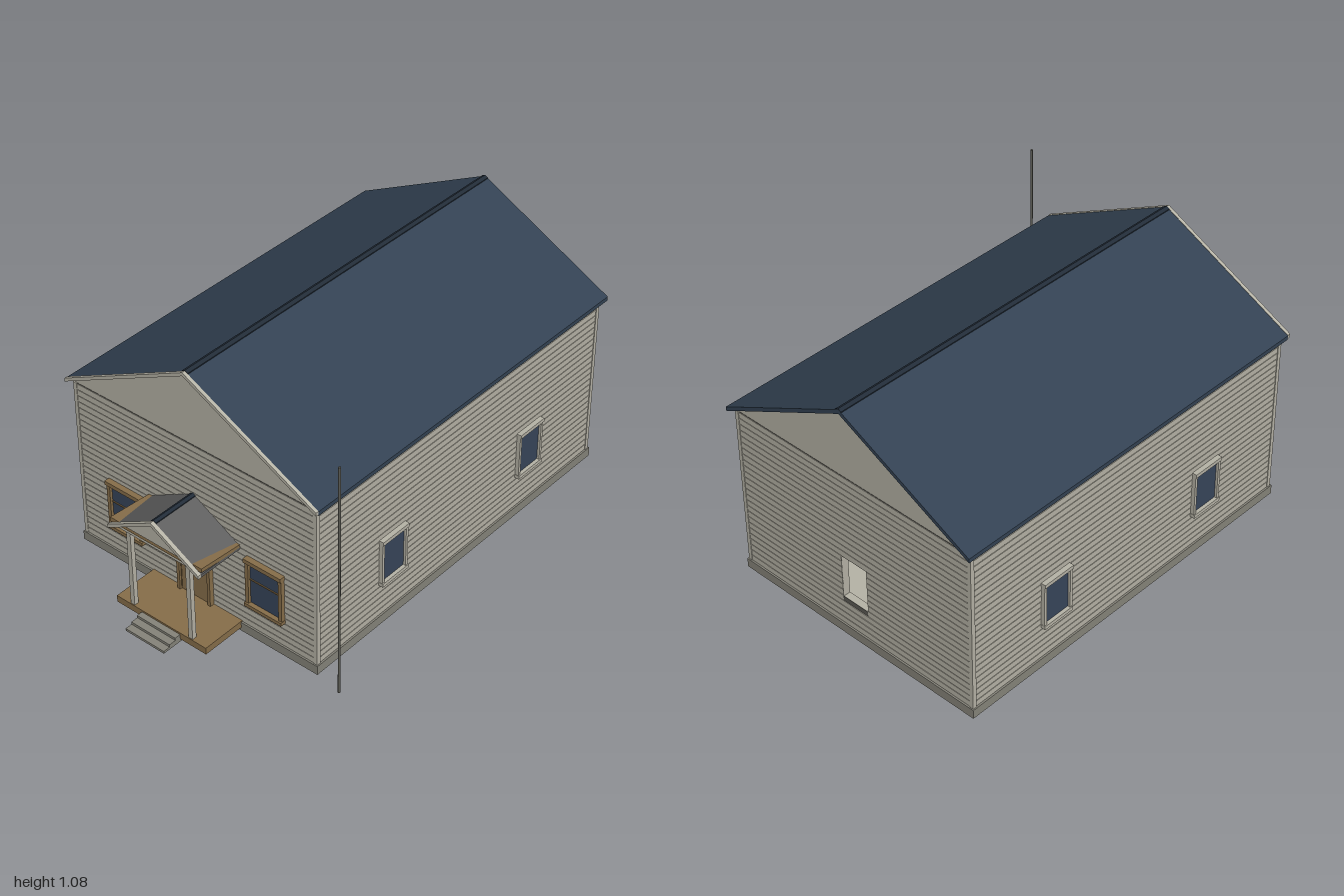
import * as THREE from 'three';

const mat = (name, color) => {
  const m = new THREE.MeshStandardMaterial({ color });
  m.name = name;
  return m;
};

export function createModel() {
  const siding = mat('siding', 0xb6b3a6);
  const gap = mat('shadowGap', 0x5c5b55);
  const stone = mat('foundationGrey', 0x86847a);
  const roofBlue = mat('roofBlue', 0x334253);
  const ridgeDark = mat('ridgeDark', 0x222c38);
  const wood = mat('wood', 0x876e4a);
  const woodDark = mat('woodDark', 0x6f5a3b);
  const glass = mat('glass', 0x37455a);
  const porchGrey = mat('porchRoofGrey', 0x5f5f5f);
  const poleGrey = mat('poleGrey', 0x5a5a53);

  const root = new THREE.Group();
  root.name = 'house';
  const house = new THREE.Group(); // symmetric about its own x = 0
  house.name = 'building';
  house.position.x = -0.057;
  root.add(house);

  const add = (name, geo, m, parent = house) => {
    const mesh = new THREE.Mesh(geo, m);
    mesh.name = name;
    parent.add(mesh);
    return mesh;
  };
  // box from its limits
  const box = (name, m, x0, x1, y0, y1, z0, z1, parent = house) => {
    const mesh = add(name, new THREE.BoxGeometry(x1 - x0, y1 - y0, z1 - z0), m, parent);
    mesh.position.set((x0 + x1) / 2, (y0 + y1) / 2, (z0 + z1) / 2);
    return mesh;
  };
  // outline extruded between two z values
  const prism = (name, m, pts, z0, z1, hole) => {
    const s = new THREE.Shape(pts.map(([x, y]) => new THREE.Vector2(x, y)));
    if (hole) s.holes.push(new THREE.Path(hole.map(([x, y]) => new THREE.Vector2(x, y))));
    const mesh = add(name, new THREE.ExtrudeGeometry(s, { depth: z1 - z0, bevelEnabled: false }), m);
    mesh.position.z = z0;
    return mesh;
  };
  // folded roof slab
  const chevron = (name, m, w, top, eave, t, z0, z1) => prism(name, m,
    [[0, top], [-w, eave], [-w, eave - t], [0, top - t], [w, eave - t], [w, eave]], z0, z1);

  // foundation and floor
  box('foundation', stone, -0.596, 0.596, 0, 0.04, -0.98, 0.72);
  box('floor', siding, -0.56, 0.56, 0.04, 0.045, -0.945, 0.685);

  // gable walls, the back one with an opening
  const hx = 0.064, hy0 = 0.17, hy1 = 0.365;
  const gable = [[-0.585, 0.04], [0.585, 0.04], [0.585, 0.758], [0, 1.062], [-0.585, 0.758]];
  const opening = [[-hx, hy0], [-hx, hy1], [hx, hy1], [hx, hy0]];
  prism('frontWall', siding, gable, 0.68, 0.71);
  prism('backWall', siding, gable, -0.97, -0.94, opening);

  // dark backing seen between the boards
  const panel = [[-0.58, 0.04], [0.58, 0.04], [0.58, 0.753], [-0.58, 0.753]];
  prism('frontBacking', gap, panel, 0.71, 0.711);
  prism('backBacking', gap, panel, -0.971, -0.97, opening);

  for (const s of [-1, 1]) {
    const side = (name, m, x0, x1, y0, y1, z0, z1) =>
      box(name, m, Math.min(s * x0, s * x1), Math.max(s * x0, s * x1), y0, y1, z0, z1);
    side('sideWall', siding, 0.555, 0.585, 0.04, 0.756, -0.94, 0.68);
    side('sideBacking', gap, 0.585, 0.586, 0.04, 0.753, -0.965, 0.705);
    for (const [z0, z1] of [[0.697, 0.715], [-0.975, -0.957]])
      side('cornerBoard', siding, 0.574, 0.591, 0.04, 0.754, z0, z1);

    // side windows
    for (const z of [0.29, -0.545]) {
      side('sideGlass', glass, 0.58, 0.594, 0.2, 0.387, z - 0.064, z + 0.064);
      for (const e of [-1, 1]) {
        side('sideJamb', siding, 0.58, 0.605, 0.2, 0.387, z + e * 0.068 - 0.006, z + e * 0.068 + 0.006);
        const y = e > 0 ? 0.393 : 0.196;
        side('sideRail', siding, 0.58, 0.609, y - 0.008, y + 0.008, z - 0.075, z + 0.075);
      }
    }

    // front windows
    const c = s * 0.348;
    box('frontGlass', glass, c - 0.074, c + 0.074, 0.165, 0.362, 0.7, 0.718);
    box('windowBar', wood, c - 0.074, c + 0.074, 0.277, 0.282, 0.71, 0.722);
    box('windowHead', wood, c - 0.09, c + 0.09, 0.359, 0.377, 0.7, 0.737);
    box('windowSill', wood, c - 0.09, c + 0.09, 0.153, 0.168, 0.7, 0.737);
    box('windowApron', siding, c - 0.083, c + 0.083, 0.144, 0.153, 0.7, 0.722);
    for (const e of [-1, 1])
      box('windowJamb', wood, c + e * 0.08 - 0.008, c + e * 0.08 + 0.008, 0.168, 0.36, 0.7, 0.73);
  }

  // clapboards
  const rows = 26, pitch = 0.0274, h = 0.0243;
  for (let i = 0; i < rows; i++) {
    const y0 = 0.041 + i * pitch, y1 = y0 + h;
    box('frontBoard', siding, -0.574, 0.574, y0, y1, 0.709, 0.713);
    if (y1 > hy0 && y0 < hy1) {
      box('backBoard', siding, -0.574, -hx, y0, y1, -0.973, -0.969);
      box('backBoard', siding, hx, 0.574, y0, y1, -0.973, -0.969);
    } else box('backBoard', siding, -0.574, 0.574, y0, y1, -0.973, -0.969);
    for (const s of [-1, 1])
      box('sideBoard', siding, s * 0.5865 - 0.002, s * 0.5865 + 0.002, y0, y1, -0.957, 0.697);
  }

  // main roof
  chevron('mainRoof', roofBlue, 0.61, 1.08, 0.772, 0.018, -1, 0.726);
  chevron('frontRake', siding, 0.61, 1.082, 0.774, 0.015, 0.726, 0.74);
  chevron('ridgeCap', ridgeDark, 0.014, 1.084, 1.077, 0.006, -1, 0.726);

  // door
  box('door', wood, -0.07, 0.07, 0.045, 0.355, 0.7, 0.722);
  box('doorHead', wood, -0.09, 0.09, 0.355, 0.371, 0.7, 0.74);
  box('doorSeam', woodDark, -0.07, 0.07, 0.199, 0.202, 0.72, 0.724);
  for (const s of [-1, 1]) {
    box('doorJamb', wood, s * 0.077 - 0.007, s * 0.077 + 0.007, 0.045, 0.355, 0.7, 0.733);
    box('doorEdge', woodDark, s * 0.069 - 0.0015, s * 0.069 + 0.0015, 0.045, 0.355, 0.72, 0.724);
  }

  // porch deck, steps and posts
  box('porchDeck', wood, -0.226, 0.226, 0.015, 0.045, 0.71, 0.912);
  for (let i = 0; i < 3; i++)
    box('step', stone, -0.097, 0.097, 0.004 + i * 0.011, 0.015 + i * 0.011, 0.9, 1 - i * 0.031);
  for (const s of [-1, 1])
    box('porchPost', siding, s * 0.147 - 0.01, s * 0.147 + 0.01, 0.045, 0.4, 0.888, 0.908);

  // porch roof over a slightly tilted ceiling board
  box('porchBeam', siding, -0.2, 0.2, 0.392, 0.407, 0.885, 0.912);
  const ceiling = box('porchCeiling', wood, -0.226, 0.226, 0.402, 0.419, 0.715, 0.918);
  ceiling.rotation.x = -0.08;
  prism('porchGable', siding, [[-0.165, 0.426], [0.165, 0.426], [0, 0.517]], 0.9, 0.921);
  chevron('porchRoof', porchGrey, 0.226, 0.528, 0.402, 0.012, 0.71, 0.92);
  chevron('porchRake', siding, 0.226, 0.53, 0.405, 0.016, 0.92, 0.936);
  chevron('porchRidgeCap', ridgeDark, 0.012, 0.532, 0.5255, 0.006, 0.71, 0.92);

  // free-standing pole
  const pole = add('pole', new THREE.CylinderGeometry(0.005, 0.005, 1.025, 12), poleGrey, root);
  pole.position.set(0.66, 0.517, 0.742);

  return root;
}
